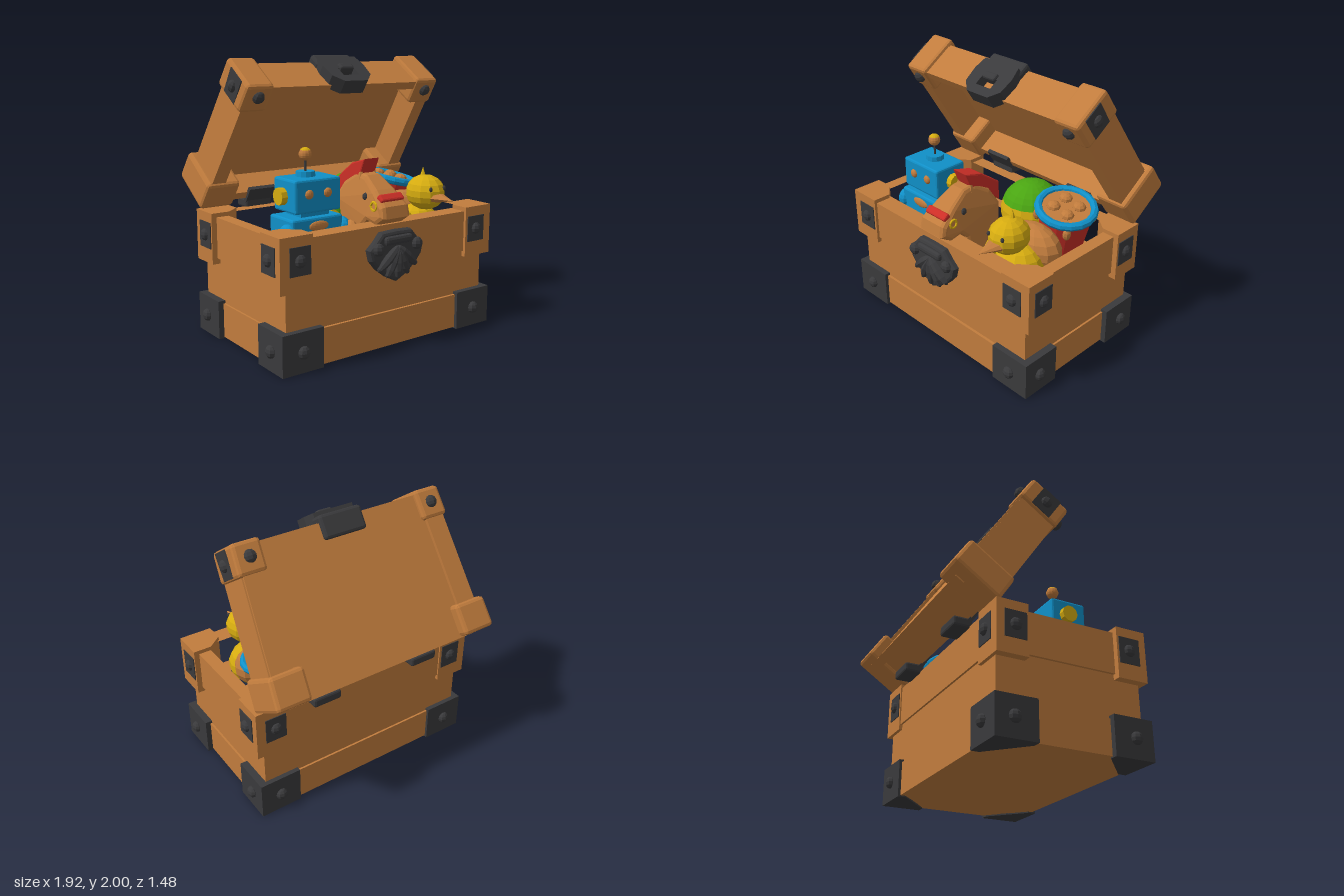
import * as THREE from 'three';
import { RoundedBoxGeometry } from 'three/addons/geometries/RoundedBoxGeometry.js';

const mat = (name, color) => Object.assign(new THREE.MeshStandardMaterial({ color }), { name });

export function createModel() {
  const wood = mat('wood', 0xc17c3d), metal = mat('dark metal', 0x3a3a3c), blue = mat('blue', 0x1090c8),
    yellow = mat('yellow', 0xd6ac10), red = mat('red', 0xcc2f27), green = mat('green', 0x4aa512);
  const root = new THREE.Group();
  root.name = 'toyChest';
  const group = (name, parent = root) => {
    const g = new THREE.Group();
    g.name = name;
    parent.add(g);
    return g;
  };

  // Adds a facetted mesh
  const add = (parent, name, geo, m, pos = [0, 0, 0], rot = [0, 0, 0], scale = [1, 1, 1]) => {
    const g = geo.index ? geo.toNonIndexed() : geo;
    g.computeVertexNormals();
    const mesh = new THREE.Mesh(g, m);
    mesh.name = name;
    mesh.position.set(...pos);
    mesh.rotation.set(...rot);
    mesh.scale.set(...scale);
    parent.add(mesh);
    return mesh;
  };
  const ball = (parent, name, m, pos, radii, w = 12, h = 9) =>
    add(parent, name, new THREE.SphereGeometry(1, w, h), m, pos, [0, 0, 0], radii);
  // Box from its limits on x, y and z
  const boxGeo = (x0, x1, y0, y1, z0, z1, r = 0) => {
    const s = [x1 - x0, y1 - y0, z1 - z0];
    const g = r ? new RoundedBoxGeometry(...s, 1, r) : new THREE.BoxGeometry(...s);
    return g.translate((x0 + x1) / 2, (y0 + y1) / 2, (z0 + z1) / 2);
  };
  // Upright prism from an outline of [x, z] points
  const prism = (pts, y0, y1, hole) => {
    const v = p => p.map(([x, z]) => new THREE.Vector2(x, -z));
    const shape = new THREE.Shape(v(pts));
    if (hole) shape.holes.push(new THREE.Path(v(hole)));
    return new THREE.ExtrudeGeometry(shape, { depth: y1 - y0, bevelEnabled: false })
      .rotateX(-Math.PI / 2).translate(0, y0, 0);
  };
  const rect = (x, z0, z1) => [[-x, z0], [x, z0], [x, z1], [-x, z1]];
  // Side outline of [z, y] points, extruded across x
  const sideProfile = (pts, width, bevel) => new THREE.ExtrudeGeometry(
    new THREE.Shape(pts.map(p => new THREE.Vector2(...p))),
    { depth: width, bevelSize: bevel, bevelThickness: bevel, bevelSegments: 2 })
    .translate(0, 0, -width / 2).rotateY(-Math.PI / 2);
  // Round rivet, with an optional worn metal patch behind it; axis is the facing direction
  const stud = (parent, pos, axis, patch) => {
    const s = [0.045, 0.045, 0.045];
    s[axis] = 0.035;
    ball(parent, 'stud', metal, pos, s, 8, 6);
    if (!patch) return;
    const p = [0.16, 0.19, 0.16];
    p[axis] = 0.009;
    add(parent, 'studPatch', new THREE.BoxGeometry(...p), metal, pos);
  };

  // Chest body: three stacked frames and a floor
  const body = group('chestBody');
  const hole = rect(0.79, -0.34, 0.51);
  add(body, 'baseBand', prism(rect(0.88, -0.45, 0.655), 0.01, 0.26, hole), wood);
  add(body, 'middleBand', prism(rect(0.865, -0.435, 0.635), 0.26, 0.58, hole), wood);
  add(body, 'topBand', prism(rect(0.885, -0.45, 0.65), 0.58, 0.88, hole), wood);
  add(body, 'floor', boxGeo(-0.8, 0.8, 0.012, 0.1, -0.35, 0.52), wood);

  // Corner posts and metal feet with a chamfered inner corner
  for (const sx of [-1, 1]) for (const sz of [-1, 1]) {
    const corner = (x, z, w, d, t) =>
      [[0, 0], [w, 0], [w, t], [t, d], [0, d]].map(([a, b]) => [sx * (x - a), 0.105 + sz * (z - b)]);
    add(body, 'metalFoot', prism(corner(0.92, 0.575, 0.32, 0.3, 0.06), 0, 0.28), metal);
    add(body, 'cornerPost', prism(corner(0.925, 0.565, 0.25, 0.23, 0.14), 0.54, 0.91), wood);
    const z = d => 0.105 + sz * d;
    stud(body, [sx * 0.76, 0.14, z(0.58)], 2);
    stud(body, [sx * 0.925, 0.14, z(0.44)], 0);
    stud(body, [sx * 0.775, 0.745, z(0.567)], 2, true);
    stud(body, [sx * 0.927, 0.745, z(0.43)], 0, true);
  }

  // Lock plate with fanned ridges
  const lock = group('lockPlate');
  const half = [[0, 0.505], [0.07, 0.54], [0.15, 0.6], [0.2, 0.66], [0.215, 0.72], [0.17, 0.76], [0.12, 0.815], [0, 0.82]];
  const outline = [...half, ...half.slice(1, -1).reverse().map(([x, y]) => [-x, y])];
  add(lock, 'plate', new THREE.ExtrudeGeometry(new THREE.Shape(outline.map(p => new THREE.Vector2(...p))),
    { depth: 0.03, bevelSize: 0.022, bevelThickness: 0.022, bevelSegments: 2 }), metal, [0, 0, 0.65]);
  for (let i = -2; i <= 2; i++) {
    const a = i * 0.42;
    add(lock, 'ridge', new THREE.SphereGeometry(1, 8, 6), metal,
      [Math.sin(a) * 0.11, 0.73 - Math.cos(a) * 0.11, 0.7], [0, 0, a], [0.035, 0.12, 0.045]);
  }
  add(lock, 'topRoll', boxGeo(-0.12, 0.12, 0.75, 0.81, 0.68, 0.73, 0.02), metal);
  for (const s of [-1, 1]) stud(lock, [s * 0.17, 0.73, 0.705], 2);

  // Open lid: y runs from hinge to tip, z faces the inside
  const lid = group('lid');
  lid.position.set(0, 0.91, -0.44);
  lid.rotation.x = 0.588;
  const taper = g => {
    const p = g.attributes.position;
    for (let i = 0; i < p.count; i++) p.setX(i, p.getX(i) * (1 - 0.07 * p.getY(i)));
    return g;
  };
  const lidBox = (name, x0, x1, y0, y1, z0, z1, r) => add(lid, name, taper(boxGeo(x0, x1, y0, y1, z0, z1, r)), wood);
  lidBox('lidPanel', -0.8, 0.8, -0.01, 1.06, -0.29, -0.22);
  lidBox('lidTipBoard', -0.8, 0.8, 1, 1.065, -0.27, -0.005);
  lidBox('lidHingeBoard', -0.8, 0.8, 0.03, 0.09, -0.27, -0.02);
  for (const s of [-1, 1]) {
    const side = (name, a, b, ...rest) => lidBox(name, Math.min(s * a, s * b), Math.max(s * a, s * b), ...rest);
    side('lidSide', 0.77, 0.88, 0.05, 1.05, -0.3, -0.005);
    side('lidStrip', 0.71, 0.87, 0.1, 1, -0.315, -0.26);
    side('lidHingeCap', 0.65, 0.915, 0, 0.23, -0.37, 0.015, 0.025);
    side('lidTipCap', 0.68, 0.905, 0.87, 1.09, -0.33, 0.01, 0.025);
    stud(lid, [s * 0.735, 1, 0.015], 2);
    stud(lid, [s * 0.735, 0.985, -0.335], 2);
    stud(lid, [s * 0.845, 0.98, -0.15], 0, true);
    // Hinges
    add(root, 'hingeBarrel', boxGeo(s * 0.42 - 0.11, s * 0.42 + 0.11, 0.87, 0.94, -0.57, -0.43, 0.015), metal);
    add(lid, 'hingePlate', boxGeo(s * 0.42 - 0.11, s * 0.42 + 0.11, -0.01, 0.13, -0.03, 0), metal);
  }

  // Hasp wrapping over the lid's tip, with a slot
  const hasp = [[-0.1, 0.05], [0.1, 0.05], [0.17, -0.02], [0.18, -0.14], [0.16, -0.24], [-0.16, -0.24], [-0.18, -0.14], [-0.17, -0.02]];
  add(lid, 'hasp', prism(hasp, 1.03, 1.14, [[-0.07, -0.02], [0.07, -0.02], [0.07, -0.1], [-0.07, -0.1]]), metal);
  add(lid, 'haspBack', boxGeo(-0.17, 0.17, 0.94, 1.11, -0.32, -0.2, 0.02), metal);
  add(lid, 'haspKnob', boxGeo(-0.06, 0.06, 1.1, 1.16, -0.14, -0.08, 0.015), metal);

  // Robot
  const robot = group('toyRobot');
  add(robot, 'robotHead', boxGeo(-0.63, -0.26, 0.97, 1.2, 0.13, 0.4, 0.015), blue);
  add(robot, 'robotBody', boxGeo(-0.66, -0.25, 0.5, 0.94, 0.12, 0.41, 0.015), blue);
  add(robot, 'robotNeck', boxGeo(-0.56, -0.33, 0.93, 0.98, 0.17, 0.36), blue);
  add(robot, 'robotCap', new THREE.CylinderGeometry(0.065, 0.07, 0.04, 12), blue, [-0.45, 1.215, 0.25]);
  add(robot, 'robotAntenna', new THREE.CylinderGeometry(0.008, 0.008, 0.14, 6), metal, [-0.45, 1.29, 0.25]);
  ball(robot, 'antennaBall', wood, [-0.45, 1.35, 0.25], [0.045, 0.045, 0.045]);
  add(robot, 'antennaBallTop', new THREE.SphereGeometry(0.047, 12, 4, 0, Math.PI * 2, 0, 0.9), yellow, [-0.45, 1.35, 0.25]);
  ball(robot, 'robotDial', wood, [-0.45, 0.88, 0.41], [0.08, 0.035, 0.015]);
  for (const s of [-1, 1]) {
    ball(robot, 'robotEye', wood, [-0.445 + s * 0.075, 1.1, 0.4], [0.033, 0.033, 0.02]);
    add(robot, 'robotEar', new THREE.CylinderGeometry(0.06, 0.06, 0.05, 10), yellow,
      [-0.445 + s * 0.205, 1.08, 0.25], [0, 0, Math.PI / 2]);
    ball(robot, 'robotShoulder', blue, [-0.445 + s * 0.22, 0.83, 0.36], [0.06, 0.08, 0.08]);
  }

  // Toy horse: arched neck and head narrowing upward
  const horse = group('toyHorse');
  const neck = sideProfile([[0.16, 0.6], [0.16, 1], [0.22, 1.1], [0.33, 1.17], [0.42, 1.16], [0.54, 1.08],
    [0.65, 0.99], [0.66, 0.94], [0.6, 0.9], [0.5, 0.92], [0.43, 0.85], [0.43, 0.6]], 0.18, 0.03);
  const np = neck.attributes.position;
  for (let i = 0; i < np.count; i++)
    np.setX(i, np.getX(i) * (1.05 - 0.5 * THREE.MathUtils.clamp((np.getY(i) - 0.98) / 0.22, 0, 1)));
  add(horse, 'horseHead', neck, wood);
  add(horse, 'horseMane', sideProfile([[0.4, 1.29], [0.27, 1.25], [0.1, 1.13], [0.09, 1], [0.2, 1.08], [0.34, 1.16]], 0.11, 0.012), red);
  add(horse, 'horseBridle', boxGeo(-0.1, 0.1, -0.05, 0.05, -0.03, 0.03, 0.012), red, [0, 1.03, 0.6], [0.7, 0, 0]);
  for (const s of [-1, 1]) {
    ball(horse, 'horseEye', metal, [s * 0.1, 1.05, 0.47], [0.02, 0.028, 0.025], 8, 6);
    add(horse, 'bridleRing', new THREE.TorusGeometry(0.03, 0.01, 6, 10), yellow, [s * 0.115, 1, 0.58], [0, Math.PI / 2, 0]);
    add(horse, 'horseEar', new THREE.ConeGeometry(0.03, 0.09, 6), wood, [s * 0.055, 1.2, 0.36]);
  }

  // Duck
  const duck = group('toyDuck');
  ball(duck, 'duckHead', yellow, [0.5, 1.01, 0.42], [0.14, 0.13, 0.155]);
  ball(duck, 'duckBody', yellow, [0.5, 0.74, 0.32], [0.19, 0.17, 0.18]);
  ball(duck, 'duckWing', yellow, [0.32, 0.8, 0.4], [0.05, 0.1, 0.08]);
  add(duck, 'duckTuft', new THREE.ConeGeometry(0.025, 0.08, 6), yellow, [0.5, 1.155, 0.39]);
  add(duck, 'duckBill', new THREE.ConeGeometry(0.08, 0.18, 8), wood, [0.5, 0.985, 0.62], [Math.PI / 2, 0, 0], [1, 1, 0.5]);
  for (const s of [-1, 1]) ball(duck, 'duckEye', metal, [0.5 + s * 0.065, 1.05, 0.55], [0.014, 0.018, 0.012], 8, 6);

  // Tilted bucket filled with lumps
  const bucket = group('toyBucket');
  bucket.position.set(0.57, 1.05, -0.08);
  bucket.rotation.set(0.12, 0, -0.2);
  add(bucket, 'bucketWall', new THREE.CylinderGeometry(0.2, 0.15, 0.36, 16), red, [0, -0.18, 0]);
  add(bucket, 'bucketRim', new THREE.TorusGeometry(0.2, 0.03, 8, 18), blue, [0, 0, 0], [Math.PI / 2, 0, 0]);
  add(bucket, 'bucketFill', new THREE.CylinderGeometry(0.18, 0.18, 0.015, 16), wood);
  for (let i = 0; i < 4; i++) {
    const a = i * Math.PI / 2 + 0.8;
    ball(bucket, 'bucketLump', wood, [Math.cos(a) * 0.09, 0.01, Math.sin(a) * 0.09], [0.05, 0.035, 0.05], 8, 6);
    ball(bucket, 'bucketTab', wood, [Math.cos(a) * 0.2, -0.07, Math.sin(a) * 0.2], [0.03, 0.05, 0.03], 8, 6);
  }

  // Two-tone balls, a plush toy and a block
  const twoTone = (name, pos, r, tilt) => {
    const g = group(name);
    g.position.set(...pos);
    g.rotation.z = tilt;
    add(g, 'ballTop', new THREE.SphereGeometry(r, 16, 6, 0, Math.PI * 2, 0, 1.2), green);
    add(g, 'ballBottom', new THREE.SphereGeometry(r, 16, 8, 0, Math.PI * 2, 1.2, Math.PI - 1.2), yellow);
  };
  twoTone('largeBall', [0.21, 0.89, -0.11], 0.23, 0);
  twoTone('smallBall', [-0.18, 0.86, 0.08], 0.15, -0.7);
  ball(root, 'plushToy', wood, [0.5, 0.82, 0.17], [0.23, 0.17, 0.15]);
  ball(root, 'plushPaw', wood, [-0.19, 0.83, 0.42], [0.04, 0.06, 0.07], 8, 6);
  add(root, 'toyBlock', boxGeo(0.15, 0.3, 0.55, 0.72, 0.24, 0.4), yellow);
  return root;
}
